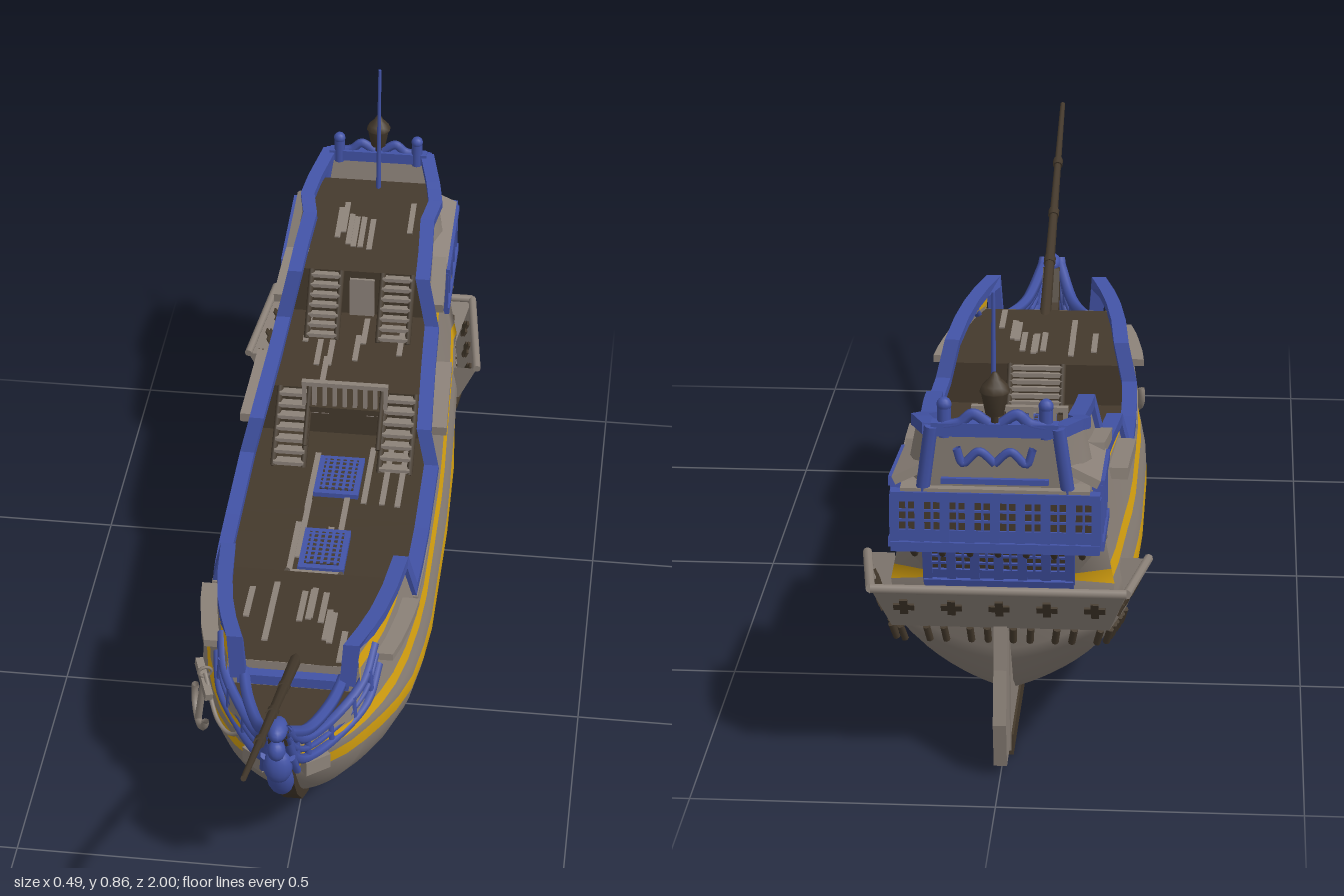
import * as THREE from 'three';

const mat = (name, color, side = THREE.FrontSide) => {
  const m = new THREE.MeshStandardMaterial({ color, side });
  m.name = name;
  return m;
};

// Linear look-up in a table of [z, value], ordered from bow to stern
const look = (table, z) => {
  if (z >= table[0][0]) return table[0][1];
  for (let i = 1; i < table.length; i++) {
    const [z0, a] = table[i - 1], [z1, b] = table[i];
    if (z >= z1) return a + (b - a) * (z0 - z) / (z0 - z1);
  }
  return table[table.length - 1][1];
};
const KEEL = [[.54, .31], [.53, .285], [.5, .23], [.45, .16], [.4, .11], [.3, .055], [.2, .035], [.05, .025], [-.5, .025], [-.65, .05], [-.75, .1], [-.82, .2], [-.85, .345], [-.9, .41], [-.96, .435]];
const BEAM = [[.54, .006], [.53, .024], [.5, .062], [.47, .089], [.44, .111], [.4, .133], [.34, .158], [.28, .178], [.2, .197], [.1, .209], [0, .215], [-.3, .216], [-.5, .21], [-.7, .197], [-.85, .182], [-.96, .13]];
const WIDEST = [[.54, .33], [.4, .28], [.2, .23], [0, .21], [-.5, .22], [-.8, .28], [-.85, .37], [-.9, .43], [-.96, .46]];
const FULLNESS = [[.5, .6], [0, .56], [-.5, .6], [-.75, .85], [-.82, .7], [-.88, .2], [-.96, .12]];
const SHEER = [[.54, .335], [.4, .36], [.39, .45], [.25, .435], [.1, .42], [.085, .348], [-.1, .343], [-.3, .352], [-.315, .425], [-.61, .47], [-.625, .57], [-.8, .598], [-.96, .645]];
const BAND1 = [[.54, .245], [.4, .24], [.2, .205], [0, .19], [-.4, .2], [-.85, .24]];
const BAND2 = [[.54, .3], [.3, .28], [0, .267], [-.4, .28], [-.85, .325]];
const BAND3 = [[-.31, .4], [-.6, .44], [-.82, .475]];
const COLS = [.54, .53, .515, .5, .485, .47, .44, .4, .39, .34, .28, .2, .1, .085, 0, -.1, -.2, -.3, -.315, -.4, -.5, -.61, -.625, -.7, -.76, -.8, -.82, -.85, -.88, -.9, -.96];

// Half breadth of the hull at a station and height
function breadth(z, y) {
  const b = look(BEAM, z), m = look(WIDEST, z), k = look(KEEL, z);
  if (y >= m) return b * (1 - 1.07 * (y - m));
  const u = Math.max(0, (y - k) / (m - k));
  return b * Math.pow(1 - (1 - u) ** 2, look(FULLNESS, z));
}
function rowHeights(z) {
  const k = look(KEEL, z), top = look(SHEER, z), a = look(BAND1, z), b = look(BAND2, z), c = look(BAND3, z);
  const rows = [];
  for (let i = 0; i < 12; i++) rows.push(k + (Math.max(a, k) - k) * Math.pow(i / 12, 1.8));
  const thin = z < -.6 ? .026 * Math.max(.2, (z + .85) / .25) : .026;
  rows.push(a, a + .031, (a + b) / 2 + .015, b, b + .026, (b + c) / 2 + .015, c, c + thin, top);
  return rows.map(y => Math.min(top, Math.max(k, y)));
}
const YELLOW_ROWS = [12, 15, 18];

export function createModel() {
  const ship = new THREE.Group();
  ship.name = 'ship';
  const grey = mat('weatheredWood', 0x8c8279, THREE.DoubleSide), dark = mat('darkWood', 0x44392c, THREE.DoubleSide);
  const blue = mat('bluePaint', 0x4253a6, THREE.DoubleSide), yellow = mat('yellowPaint', 0xdba510, THREE.DoubleSide);
  const V = (x, y, z) => new THREE.Vector3(x, y, z);
  const add = (name, geo, m, parent = ship) => {
    const mesh = new THREE.Mesh(geo, m);
    mesh.name = name;
    parent.add(mesh);
    return mesh;
  };
  const box = (name, m, w, h, d, x, y, z, parent) => {
    const b = add(name, new THREE.BoxGeometry(w, h, d), m, parent);
    b.position.set(x, y, z);
    return b;
  };
  const rod = (name, m, a, b, r0, r1 = r0, parent = ship) => {
    const c = add(name, new THREE.CylinderGeometry(r1, r0, a.distanceTo(b), 8), m, parent);
    c.position.copy(a).add(b).multiplyScalar(.5);
    c.quaternion.setFromUnitVectors(V(0, 1, 0), b.clone().sub(a).normalize());
    return c;
  };
  const surface = (pos, idx) => {
    const g = new THREE.BufferGeometry();
    g.setAttribute('position', new THREE.Float32BufferAttribute(pos, 3));
    g.setIndex(idx);
    g.computeVertexNormals();
    return g;
  };
  const tube = (name, m, pts, r) => add(name, new THREE.TubeGeometry(new THREE.CatmullRomCurve3(pts), 24, r, 6), m);
  // Square-section timber following fore-and-aft points, with mitred corners
  const timber = (name, m, pts, w, h) => {
    const pos = [], idx = [], X = V(1, 0, 0);
    pts.forEach((p, i) => {
      const a = p.clone().sub(pts[Math.max(0, i - 1)]).normalize(), b = pts[Math.min(pts.length - 1, i + 1)].clone().sub(p).normalize();
      const t = a.clone().add(b).normalize(), end = i === 0 ? b : a;
      const n = t.clone().cross(X).normalize().multiplyScalar(h / 2 / Math.max(.6, t.dot(end)));
      for (const [s, q] of [[-1, -1], [1, -1], [1, 1], [-1, 1]]) pos.push(p.x + s * w / 2, p.y + q * n.y, p.z + q * n.z);
      if (i) for (let j = 0; j < 4; j++) {
        const c = i * 4 + j, d = i * 4 + (j + 1) % 4;
        idx.push(c - 4, c, d - 4, d - 4, c, d);
      }
    });
    const e = pos.length / 3 - 4;
    idx.push(0, 1, 2, 0, 2, 3, e, e + 2, e + 1, e, e + 3, e + 2);
    const g = surface(pos, idx).toNonIndexed();
    g.computeVertexNormals();
    return add(name, g, m);
  };
  const plate = (name, m, pts, thick) => {
    // points are [z, y] in the centre plane
    const g = new THREE.ExtrudeGeometry(new THREE.Shape(pts.map(p => new THREE.Vector2(-p[0], p[1]))), { depth: thick, bevelEnabled: false });
    g.translate(0, 0, -thick / 2).rotateY(Math.PI / 2);
    return add(name, g, m);
  };

  // Hull planking with painted bands
  const hullPoint = (z, y, s) => [s * breadth(z, y), y, z < -.95 ? z - .02 * (y - .435) / .2 : z];
  for (const s of [1, -1]) {
    const pos = [], plain = [], painted = [], n = rowHeights(0).length;
    COLS.forEach((z, i) => rowHeights(z).forEach((y, j) => {
      pos.push(...hullPoint(z, y, s));
      if (!i || !j) return;
      const a = (i - 1) * n + j - 1, b = a + n, list = YELLOW_ROWS.includes(j - 1) ? painted : plain;
      list.push(...(s > 0 ? [a, b, a + 1, b, b + 1, a + 1] : [a, a + 1, b, b, a + 1, b + 1]));
    }));
    const g = surface(pos, [...plain, ...painted]);
    g.addGroup(0, plain.length, 0);
    g.addGroup(plain.length, painted.length, 1);
    add('hullSide', g, [grey, yellow]);
  }
  const tp = [], ti = [];
  rowHeights(-.96).forEach((y, j) => {
    tp.push(...hullPoint(-.96, y, 1), ...hullPoint(-.96, y, -1));
    if (j) ti.push(2 * j - 2, 2 * j - 1, 2 * j, 2 * j - 1, 2 * j + 1, 2 * j);
  });
  add('transom', surface(tp, ti), grey);

  // Keel, stem, sternpost and rudder
  plate('keelAndStem', dark, [[-.81, .003], [.1, 0], [.22, .012], [.32, .04], [.41, .098], [.48, .17], [.535, .25], [.57, .32], [.6, .38], [.615, .42], [.58, .42], [.54, .36], [.47, .32], [.44, .2], [.3, .085], [.1, .05], [-.81, .04]], .034);
  plate('sternpost', grey, [[-.6, .02], [-.81, .01], [-.835, .34], [-.8, .34], [-.74, .14], [-.6, .06]], .026);
  plate('rudder', grey, [[-.812, .02], [-.885, .018], [-.905, .1], [-.885, .19], [-.875, .28], [-.84, .28]], .022);

  // Decks with a few pale planks
  let seed = 7;
  const rnd = () => (seed = (seed * 16807) % 2147483647) / 2147483647;
  const deck = (z0, z1, y0, y1, pale) => {
    const pos = [], idx = [], n = 8, at = t => [z0 + (z1 - z0) * t, y0 + (y1 - y0) * t];
    for (let i = 0; i <= n; i++) {
      const [z, y] = at(i / n), w = breadth(z, y) - .003;
      pos.push(w, y, z, -w, y, z);
      if (i) idx.push(2 * i - 2, 2 * i - 1, 2 * i, 2 * i - 1, 2 * i + 1, 2 * i);
    }
    add('deck', surface(pos, idx.reverse()), dark);
    for (let k = 0; k < pale; k++) {
      const t = .2 + .6 * rnd(), [z, y] = at(t), L = Math.abs(z1 - z0) * .33;
      const p = box('palePlank', grey, .011, .004, L, (rnd() * 2 - 1) * (breadth(z, y) - .045), y + .001, z);
      p.rotation.x = -Math.atan2(y1 - y0, z1 - z0);
    }
  };
  deck(.53, .385, .325, .34, 0);
  deck(.385, .1, .395, .38, 10);
  deck(.1, -.45, .3, .31, 8);
  deck(-.45, -.69, .415, .44, 7);
  deck(-.69, -.965, .54, .59, 7);
  const bulkhead = (name, z, y0, y1, m) => {
    const a = breadth(z, y0) - .003, b = breadth(z, y1) - .003;
    add(name, surface([-a, y0, z, a, y0, z, b, y1, z, -b, y1, z], [0, 1, 2, 0, 2, 3]), m);
  };
  bulkhead('beakBulkhead', .386, .325, .395, grey);
  bulkhead('forecastleBulkhead', .1, .3, .38, dark);
  bulkhead('quarterdeckBulkhead', -.45, .3, .415, dark);
  bulkhead('poopBulkhead', -.69, .435, .54, dark);
  box('cabinDoor', grey, .05, .085, .008, 0, .482, -.688);
  for (const x of [-.055, .055]) {
    box('cabinWindow', grey, .035, .04, .008, x, .38, -.447);
    box('cabinWindowBar', dark, .005, .04, .008, x, .38, -.445);
  }

  // Stairs descending toward the bow or stern
  const stairs = (x, w, zTop, zLow, yTop, yLow, n = 7) => {
    const g = new THREE.Group();
    g.name = 'stairs';
    ship.add(g);
    for (let i = 0; i < n; i++) {
      const t = (i + .5) / n;
      box('tread', grey, w, .008, Math.abs(zTop - zLow) / n * 1.1, x, yTop + (yLow - yTop) * t, zTop + (zLow - zTop) * t, g);
    }
    for (const s of [-1, 1]) rod('stairString', dark, V(x + s * w / 2, yTop, zTop), V(x + s * w / 2, yLow, zLow), .006, .006, g);
  };
  stairs(0, .1, .1, .04, .38, .302);
  for (const s of [-1, 1]) {
    stairs(s * .105, .06, -.45, -.33, .415, .305);
    stairs(s * .072, .06, -.69, -.6, .54, .432);
    rod('stairHandrail', dark, V(s * .072, .45, -.42), V(s * .072, .36, -.33), .005);
  }
  // Quarterdeck balcony, balustrade and hatch gratings
  box('balcony', dark, .14, .012, .08, 0, .412, -.42);
  box('balustradeRail', grey, .17, .009, .012, 0, .468, -.39);
  for (let i = 0; i < 9; i++) box('baluster', grey, .008, .05, .008, -.08 + i * .02, .442, -.39);
  for (const z of [-.06, -.3]) {
    box('hatchFrame', blue, .088, .012, .125, 0, .31, z);
    box('hatchWell', dark, .066, .014, .1, 0, .311, z);
    for (let i = -2; i <= 2; i++) box('gratingBar', blue, .006, .016, .1, i * .013, .311, z);
    for (let i = -3; i <= 3; i++) box('gratingBar', blue, .066, .016, .005, 0, .311, z + i * .014);
  }

  // Blue rails, side ledges and head rails
  for (const s of [-1, 1]) {
    const rail = COLS.filter(z => z <= .39).map(z => {
      const y = look(SHEER, z), p = hullPoint(z, y, s);
      return V(p[0] - s * .004, y, p[2]);
    });
    timber('bulwarkRail', blue, [V(s * .098, .37, .4), V(s * .104, .45, .395), ...rail.slice(1)], .028, .018);
    const ledge = (z0, z1, y0, y1, out, h) => timber('sideLedge', grey, [0, .25, .5, .75, 1].map(t => {
      const z = z0 + (z1 - z0) * t, y = y0 + (y1 - y0) * t;
      return V(s * (breadth(z, y) + out / 2 - .004), y, z);
    }), out, h);
    ledge(.33, .15, .38, .37, .034, .014);
    ledge(.09, -.08, .33, .325, .012, .009);
    ledge(-.36, -.56, .395, .415, .034, .02);
    ledge(-.62, -.76, .51, .535, .03, .02);

    const head = (dy, dx) => [V(s * (.145 - dx), .365 + dy, .33), V(s * (.132 - dx), .325 + dy, .39), V(s * (.09 - dx * .5), .302 + dy, .46), V(s * .045, .312 + dy, .54), V(s * .026, .35 + dy, .585), V(s * .018, .405 + dy * .6, .612)];
    [0, .022, .045].forEach((dy, i) => tube('headRail', blue, head(dy, i * .004), i === 1 ? .006 : .009));
    for (const t of [.15, .3, .45, .6, .75]) {
      const p = new THREE.CatmullRomCurve3(head(0, 0)).getPoint(t);
      rod('headTimber', blue, p, V(p.x * .97, p.y + .05, p.z), .006);
    }
    tube('beakRail', blue, [V(s * .09, .375, .39), V(s * .075, .365, .45), V(s * .045, .37, .53), V(s * .015, .425, .61)], .011);
    box('catheadBlock', grey, .03, .03, .05, s * .05, .27, .5).rotation.y = -s * .9;
  }
  box('beakCrossRail', blue, .2, .02, .02, 0, .368, .397);

  // Figurehead
  const figure = new THREE.Group();
  figure.name = 'figurehead';
  ship.add(figure);
  const ball = (name, x, y, z, sx, sy, sz) => {
    const b = add(name, new THREE.SphereGeometry(1, 14, 10), blue, figure);
    b.position.set(x, y, z);
    b.scale.set(sx, sy, sz);
    return b;
  };
  ball('head', 0, .392, .622, .016, .02, .017);
  ball('torso', 0, .345, .607, .026, .036, .02);
  ball('skirt', 0, .288, .575, .024, .055, .02).rotation.x = .45;
  ball('scrollTop', 0, .425, .605, .018, .018, .03);
  for (const s of [-1, 1]) rod('arm', blue, V(s * .022, .365, .605), V(s * .03, .31, .575), .009, .007, figure);

  // Bowsprit with collars
  const heel = V(0, .362, .31), tip = V(0, .655, 1);
  rod('bowsprit', dark, heel, tip, .012, .005);
  for (const t of [.3, .5, .72]) rod('bowspritCollar', dark, heel.clone().lerp(tip, t), heel.clone().lerp(tip, t + .025), .013 - .004 * t);

  // Latticed window wall, facing its own +z
  const windows = (name, w, h, n) => {
    const g = new THREE.Group();
    g.name = name;
    ship.add(g);
    box('panes', dark, w, h, .008, 0, 0, 0, g);
    for (const y of [-.5, .5]) box('frame', blue, w + .012, .016, .02, 0, y * h, .004, g);
    box('sill', blue, w, .02, .012, 0, -h * .3, .002, g);
    for (let i = 0; i <= n; i++) {
      const x = -w / 2 + i * w / n;
      box('post', blue, .015, h, .016, x, 0, .003, g);
      if (i < n) box('mullion', blue, .004, h, .011, x + w / n / 2, 0, .002, g);
    }
    for (const y of [0, .2]) box('glazingBar', blue, w, .004, .011, 0, y * h, .002, g);
    return g;
  };
  for (const s of [-1, 1]) {
    // Quarter gallery
    const q = windows('quarterGallery', .2, .1, 4);
    q.position.set(s * .158, .482, -.852);
    q.rotation.set(0, s * Math.PI / 2, s * .12, 'YXZ');
    box('galleryBody', grey, .05, .1, .2, s * .13, .48, -.85).rotation.x = .12;
    box('galleryRoof', grey, .055, .014, .22, s * .138, .547, -.85).rotation.set(.12, 0, -s * .45);
    box('galleryFrontEnd', blue, .05, .09, .01, s * .135, .473, -.75);
  }
  const rear = windows('sternGallery', .32, .085, 8);
  rear.position.set(0, .49, -.975);
  rear.rotation.set(0, Math.PI, 0);
  const lower = windows('lowerSternWindows', .23, .075, 6);
  lower.position.set(0, .39, -.902);
  lower.rotation.set(.3, Math.PI, 0, 'YXZ');
  box('sternGalleryFloor', grey, .32, .012, .08, 0, .442, -.935);
  box('sternGalleryRoof', grey, .3, .012, .035, 0, .54, -.968);
  for (let i = -3; i <= 3; i++) rod('galleryBracket', dark, V(i * .045, .44, -.968), V(i * .045, .405, -.91), .006);

  // Taffrail, carved crest, finials, lantern and ensign staff
  box('taffrail', blue, .2, .022, .022, 0, .645, -.975);
  box('transomPanel', blue, .17, .009, .008, 0, .56, -.984);
  for (const s of [-1, 1]) {
    tube('crest', blue, [V(s * .08, .65, -.978), V(s * .055, .655, -.978), V(s * .035, .67, -.978), V(s * .01, .655, -.978)], .009);
    tube('transomScroll', blue, [V(0, .59, -.984), V(s * .025, .61, -.985), V(s * .05, .59, -.985), V(s * .06, .615, -.985)], .007);
    rod('transomFrame', blue, V(s * .115, .54, -.975), V(s * .1, .65, -.982), .011);
    rod('finialPost', blue, V(s * .08, .63, -.972), V(s * .08, .68, -.972), .011);
    const knob = add('finialKnob', new THREE.SphereGeometry(.012, 12, 8), blue);
    knob.position.set(s * .08, .683, -.972);
  }
  const lamp = [[0, .64], [.006, .64], [.006, .665], [.015, .67], [.022, .705], [.025, .708], [.02, .718], [.01, .728], [.004, .738], [0, .74]];
  add('lantern', new THREE.LatheGeometry(lamp.map(p => new THREE.Vector2(...p)), 10), dark).position.z = -.975;
  rod('ensignStaff', blue, V(.004, .58, -.945), V(.004, .86, -.945), .005, .003);

  // Flared stern walk with pierced quatrefoils and hanging brackets
  const topEdge = [V(.236, .318, -.7), V(.207, .345, -.92), V(-.207, .345, -.92), V(-.236, .318, -.7)];
  const lowEdge = [V(.2, .235, -.715), V(.178, .262, -.875), V(-.178, .262, -.875), V(-.2, .235, -.715)];
  const hullEdge = [V(.18, .235, -.715), V(.1, .25, -.8), V(-.1, .25, -.8), V(-.18, .235, -.715)];
  const quad = (name, a, b, c, d) => add(name, surface([a, b, c, d].flatMap(v => v.toArray()), [0, 1, 2, 0, 2, 3]), grey);
  for (let i = 0; i < 3; i++) {
    const [a, b, c, d] = [lowEdge[i], lowEdge[i + 1], topEdge[i + 1], topEdge[i]];
    quad('sternWalkWall', a, b, c, d);
    quad('sternWalkFloor', hullEdge[i], hullEdge[i + 1], b, a);
    rod('sternWalkRail', grey, d, c, .008);
    const along = b.clone().sub(a).normalize(), out = along.clone().cross(d.clone().sub(a)).normalize(), up = out.clone().cross(along);
    const n = i === 1 ? 5 : 3;
    for (let k = 0; k < n; k++) {
      const t = (k + .5) / n, low = a.clone().lerp(b, t), mid = low.clone().lerp(d.clone().lerp(c, t), .55);
      const foil = new THREE.Group();
      foil.name = 'quatrefoil';
      foil.position.copy(mid);
      foil.quaternion.setFromRotationMatrix(new THREE.Matrix4().makeBasis(along, up, out));
      ship.add(foil);
      box('foilBar', dark, .034, .013, .008, 0, 0, 0, foil);
      box('foilBar', dark, .013, .034, .008, 0, 0, 0, foil);
      for (const e of [-.3, .3]) {
        const p = a.clone().lerp(b, t + e / n);
        rod('walkBracket', dark, V(p.x * .96, p.y - .028, p.z + .012), p, .006);
      }
    }
  }
  for (const s of [-1, 1]) quad('sternWalkEnd', V(s * .2, .235, -.715), V(s * .236, .318, -.7), V(s * .19, .318, -.7), V(s * .18, .235, -.715));

  // Anchor stowed on one bow
  const anchor = new THREE.Group();
  anchor.name = 'anchor';
  ship.add(anchor);
  rod('shank', grey, V(0, -.06, 0), V(0, .06, 0), .007, .006, anchor);
  box('stock', grey, .014, .016, .09, 0, .05, 0, anchor);
  const arms = add('arms', new THREE.TorusGeometry(.045, .007, 6, 14, Math.PI), grey, anchor);
  arms.rotation.set(Math.PI, Math.PI / 2, 0);
  arms.position.y = -.015;
  const ring = add('ring', new THREE.TorusGeometry(.012, .003, 6, 12), grey, anchor);
  ring.position.y = .07;
  anchor.position.set(-.175, .27, .35);
  anchor.rotation.set(.2, .35, -.15);
  tube('anchorCable', grey, [V(-.165, .335, .36), V(-.135, .28, .42), V(-.11, .275, .45), V(-.08, .3, .475)], .004);
  return ship;
}
